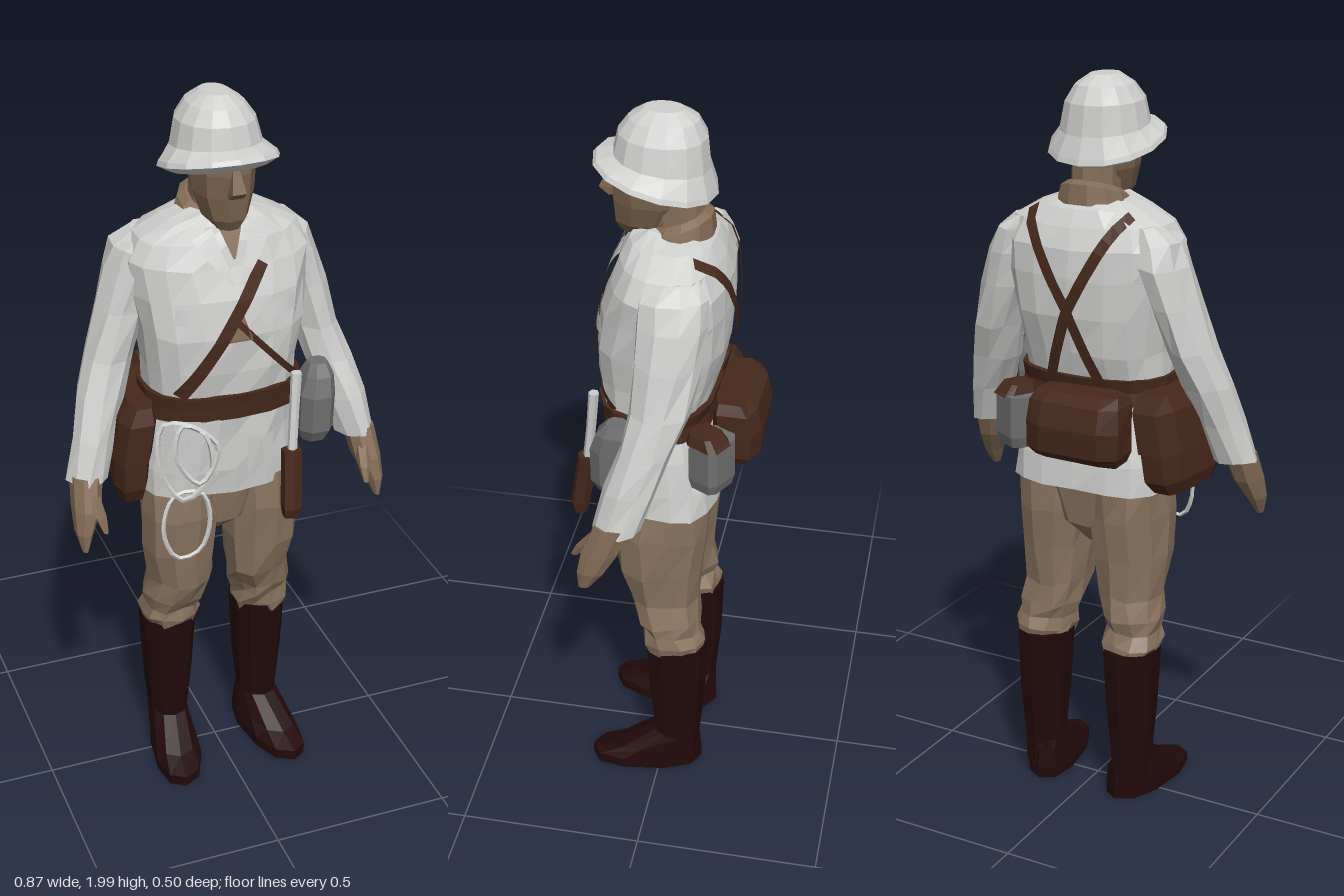
import * as THREE from 'three';

const mat = (name, color) => {
  const m = new THREE.MeshStandardMaterial({ color, flatShading: true, side: THREE.DoubleSide });
  m.name = name;
  return m;
};
const cloth = mat('white cloth', 0xcfcfce);
const trouser = mat('khaki trousers', 0x8a745f);
const skin = mat('skin', 0x846c56);
const face = mat('shaded face', 0x7a634d);
const leather = mat('brown leather', 0x46281b);
const boot = mat('dark boots', 0x22090a);
const metal = mat('grey metal', 0x6e6e6e);

// Small repeatable noise for creased fabric
let seed = 7;
const noise = () => ((seed = (seed * 16807) % 2147483647) / 2147483647) * 2 - 1;

// Stack of rings from bottom to top; ring = [y, cx, cz, rx, rz, slope, shear]
function loft(rings, n = 10, p = 1, jitter = 0) {
  const pos = [], idx = [];
  const sp = v => Math.sign(v) * Math.abs(v) ** p;
  for (const [y, cx, cz, rx, rz, slope = 0, shear = 0] of rings) {
    for (let j = 0; j < n; j++) {
      const a = ((j + 0.5) / n) * Math.PI * 2;
      const x = sp(Math.cos(a)) * rx, z = sp(Math.sin(a)) * rz;
      pos.push(cx + x + shear * z + noise() * jitter, y + slope * z + noise() * jitter, cz + z + noise() * jitter);
    }
  }
  const last = rings.length - 1;
  for (let i = 0; i < last; i++) {
    for (let j = 0; j < n; j++) {
      const a = i * n + j, b = i * n + ((j + 1) % n);
      idx.push(a, a + n, b, b, a + n, b + n);
    }
  }
  // End caps
  const c0 = pos.length / 3;
  pos.push(rings[0][1], rings[0][0], rings[0][2], rings[last][1], rings[last][0], rings[last][2]);
  for (const [k, r] of [[c0, rings[0]], [c0 + 1, rings[last]]]) [pos[k * 3], pos[k * 3 + 1], pos[k * 3 + 2]] = [r[1], r[0], r[2]];
  for (let j = 0; j < n; j++) {
    const k = (j + 1) % n;
    idx.push(c0, j, k, c0 + 1, last * n + k, last * n + j);
  }
  const g = new THREE.BufferGeometry();
  g.setAttribute('position', new THREE.Float32BufferAttribute(pos, 3));
  g.setIndex(idx);
  const flat = g.toNonIndexed();
  flat.computeVertexNormals();
  return flat;
}

// Tunic sections: [y, half width, front z, back z]
const P = 0.79;
const tunic = [
  [0.925, 0.228, 0.14, -0.15], [1.0, 0.225, 0.148, -0.145], [1.1, 0.212, 0.155, -0.128],
  [1.2, 0.2, 0.162, -0.11], [1.3, 0.205, 0.178, -0.14], [1.4, 0.218, 0.184, -0.16],
  [1.5, 0.235, 0.168, -0.166], [1.58, 0.245, 0.142, -0.158], [1.635, 0.215, 0.118, -0.14],
  [1.675, 0.14, 0.1, -0.115], [1.7, 0.075, 0.08, -0.085],
];
const section = y => {
  let i = 0;
  while (i < tunic.length - 2 && tunic[i + 1][0] < y) i++;
  const t = THREE.MathUtils.clamp((y - tunic[i][0]) / (tunic[i + 1][0] - tunic[i][0]), 0, 1);
  const [, w, f, b] = tunic[i].map((v, k) => v + (tunic[i + 1][k] - v) * t);
  return [y, 0, (f + b) / 2, w, (f - b) / 2];
};
const surfaceZ = (x, y, side) => {
  const [, , cz, w, d] = section(y);
  return cz + side * d * Math.max(0, 1 - (Math.abs(x) / w) ** (2 / P)) ** (P / 2);
};

// Ribbon that follows the front (side 1) or back (side -1) of the tunic
function ribbon(points, side, width, lift = 0.009, endWidth = width) {
  const path = new THREE.CurvePath();
  const v = points.map(q => new THREE.Vector2(...q));
  for (let i = 1; i < v.length; i++) path.add(new THREE.LineCurve(v[i - 1], v[i]));
  const N = 14, pos = [], idx = [];
  for (let i = 0; i <= N; i++) {
    const c = path.getPoint(i / N), a = path.getPoint(Math.max(0, i - 1) / N), b = path.getPoint(Math.min(N, i + 1) / N);
    const d = b.sub(a).normalize(), w = (width + (endWidth - width) * i / N) / 2;
    for (const s of [-1, 1]) {
      const x = c.x - d.y * w * s, y = c.y + d.x * w * s;
      pos.push(x, y, surfaceZ(x, y, side) + side * lift);
    }
    if (i < N) {
      const k = i * 2;
      idx.push(...(side > 0 ? [k, k + 2, k + 1, k + 1, k + 2, k + 3] : [k, k + 1, k + 2, k + 1, k + 3, k + 2]));
    }
  }
  const g = new THREE.BufferGeometry();
  g.setAttribute('position', new THREE.Float32BufferAttribute(pos, 3));
  g.setIndex(idx);
  g.computeVertexNormals();
  return g;
}

export function createModel() {
  const model = new THREE.Group();
  const add = (name, geometry, material, parent = model) => {
    const m = new THREE.Mesh(geometry, material);
    m.name = name;
    parent.add(m);
    return m;
  };
  const cord = (name, pts, r, m) => add(name, new THREE.TubeGeometry(
    new THREE.CatmullRomCurve3(pts.map(q => new THREE.Vector3(...q)), true), 20, r, 4, true), m);

  // Tunic, belt and trouser seat
  add('tunic', loft(tunic.map(t => section(t[0])), 18, P, 0.005), cloth);
  const belt = [1.165, 1.2, 1.235].map(y => { const s = section(y); s[3] += 0.014; s[4] += 0.012; return s; });
  add('belt', loft(belt, 18, P), leather);
  add('trouserSeat', loft([
    [0.745, 0.006, -0.01, 0.012, 0.03], [0.81, 0.004, -0.005, 0.09, 0.1], [0.94, 0, -0.005, 0.19, 0.125]], 12, 0.85, 0.003), trouser);

  // Legs, boots, arms and hands
  for (const s of [1, -1]) {
    const side = s > 0 ? 'left' : 'right';
    const limb = (name, rings, n, p, jit, m) =>
      add(side + name, loft(rings.map(r => r.map((v, k) => (k === 1 || k === 6 ? v * s : v))), n, p, jit), m);
    const legs = [limb('TrouserLeg', [
      [0.44, 0.136, -0.04, 0.07, 0.078], [0.475, 0.135, -0.035, 0.082, 0.084], [0.51, 0.132, -0.025, 0.074, 0.08],
      [0.545, 0.127, -0.02, 0.084, 0.09], [0.61, 0.113, -0.003, 0.084, 0.097], [0.72, 0.116, 0.005, 0.098, 0.113],
      [0.84, 0.112, 0.003, 0.106, 0.125], [0.945, 0.106, -0.003, 0.108, 0.126]], 11, 0.9, 0.008, trouser),
    limb('BootShaft', [
      [0.05, 0.138, -0.045, 0.052, 0.066], [0.13, 0.138, -0.045, 0.055, 0.066], [0.28, 0.137, -0.045, 0.069, 0.08],
      [0.46, 0.136, -0.042, 0.078, 0.088]], 10, 0.9, 0, boot),
    limb('BootFoot', [
      [0.01, 0.144, 0.042, 0.068, 0.157, 0, 0.14], [0.04, 0.144, 0.042, 0.069, 0.157, 0, 0.14],
      [0.08, 0.142, 0.01, 0.063, 0.12, -0.15, 0.14], [0.13, 0.138, -0.04, 0.052, 0.068]], 10, 0.85, 0, boot)];
    legs.forEach(m => { m.position.x = 0.007; });
    limb('Sleeve', [
      [1.01, 0.38, 0.068, 0.052, 0.06], [1.12, 0.352, 0.04, 0.056, 0.064], [1.22, 0.32, 0.005, 0.065, 0.07],
      [1.32, 0.288, -0.025, 0.062, 0.075], [1.44, 0.25, -0.038, 0.065, 0.087], [1.54, 0.222, -0.043, 0.066, 0.094],
      [1.6, 0.205, -0.042, 0.058, 0.085], [1.637, 0.175, -0.037, 0.035, 0.06]], 9, 1, 0.006, cloth);
    limb('Hand', [
      [0.84, 0.416, 0.15, 0.008, 0.014], [0.89, 0.412, 0.132, 0.024, 0.036], [0.95, 0.397, 0.108, 0.038, 0.05],
      [1.03, 0.385, 0.075, 0.042, 0.048]], 8, 0.85, 0, skin);
    limb('Thumb', [
      [0.905, 0.368, 0.183, 0.007, 0.01], [0.94, 0.373, 0.155, 0.016, 0.022], [0.99, 0.385, 0.112, 0.022, 0.028]], 6, 1, 0, skin);

    // Chest pocket flap, lapel and back strap
    add(side + 'PocketFlap', ribbon([[s * 0.06, 1.455], [s * 0.16, 1.47]], 1, 0.045, 0.006), cloth);
    add(side + 'Lapel', ribbon([[s * 0.075, 1.665], [s * 0.055, 1.62], [s * 0.01, 1.54]], 1, 0.06, 0.012, 0.01), cloth);
    add(side + 'BackStrap', ribbon([[s * 0.142, 1.665], [s * 0.1, 1.6], [0, 1.42], [-s * 0.07, 1.23]], -1, 0.03, 0.01), leather);
  }

  // Head, nose, open neck and collar
  add('neck', loft([[1.62, 0, -0.018, 0.066, 0.075], [1.8, 0, -0.008, 0.062, 0.07]], 10), skin);
  add('head', loft([
    [1.672, -0.002, 0.08, 0.034, 0.05], [1.7, -0.002, 0.065, 0.058, 0.08], [1.76, -0.002, 0.05, 0.078, 0.1],
    [1.82, -0.002, 0.045, 0.082, 0.11], [1.9, -0.002, 0.04, 0.08, 0.1]], 9, 0.92), face);
  add('nose', loft([[1.765, -0.002, 0.135, 0.026, 0.03], [1.785, -0.002, 0.15, 0.026, 0.042], [1.84, -0.002, 0.14, 0.012, 0.02]], 4), face);
  add('openNeck', ribbon([[0, 1.695], [0, 1.6]], 1, 0.075, 0.008, 0.006), skin);
  add('collar', loft([
    [1.665, 0, -0.012, 0.105, 0.102, -0.18], [1.705, 0, -0.018, 0.09, 0.09, -0.34], [1.72, 0, -0.018, 0.07, 0.07, -0.34]], 12), skin);

  // Sun helmet with sloping brim
  add('helmet', loft([
    [1.808, -0.006, 0.038, 0.122, 0.128, 0.26], [1.826, -0.006, 0.04, 0.152, 0.157, 0.27],
    [1.838, -0.006, 0.037, 0.147, 0.151, 0.27], [1.87, -0.007, 0.024, 0.115, 0.122, 0.14],
    [1.935, -0.009, 0.022, 0.1, 0.112, 0.04], [1.975, -0.009, 0.02, 0.072, 0.088], [2.0, -0.009, 0.02, 0.036, 0.05]], 14, 0.95), cloth);

  // Crossed chest straps
  add('frontStrap', ribbon([[0.072, 1.585], [-0.05, 1.4], [-0.15, 1.24]], 1, 0.034), leather);
  add('frontThinStrap', ribbon([[-0.01, 1.45], [0.18, 1.24]], 1, 0.017, 0.008), leather);
  add('strapKnot', ribbon([[0.0, 1.47], [0.0, 1.395]], 1, 0.015, 0.008, 0.065), skin);

  // Ragged cloth strips over the front hem
  [[-0.18, 0.98], [-0.145, 0.94], [-0.105, 0.95], [-0.07, 1.0], [0.05, 0.97], [0.085, 0.94]].forEach(([x, y], i) =>
    add('clothStrip', ribbon([[x, 1.17 - (i > 3 ? 0.07 : 0)], [x + 0.015 * (i % 2 ? 1 : -1), y]], 1, 0.04, 0.016, 0.006), cloth));

  // Hanging lanyards
  cord('lanyard', [[-0.19, 1.16, 0.13], [-0.2, 1.02, 0.15], [-0.15, 0.95, 0.175], [-0.08, 1.02, 0.185], [-0.1, 1.15, 0.18]], 0.007, cloth);
  cord('shortLanyard', [[-0.15, 1.17, 0.17], [-0.17, 1.08, 0.175], [-0.11, 1.0, 0.19], [-0.06, 1.1, 0.185]], 0.007, cloth);
  cord('lowerLoop', [[-0.17, 0.96, 0.16], [-0.205, 0.86, 0.165], [-0.17, 0.775, 0.175], [-0.11, 0.79, 0.18], [-0.08, 0.88, 0.18], [-0.1, 0.96, 0.17]], 0.006, cloth);

  // Satchel on the right hip and pack on the back
  add('satchel', loft([
    [0.94, -0.255, 0.01, 0.038, 0.11, 0, -0.12], [0.98, -0.255, 0, 0.048, 0.14, 0, -0.12], [1.1, -0.246, -0.005, 0.052, 0.148, 0, -0.12],
    [1.17, -0.232, -0.005, 0.05, 0.15, 0, -0.12], [1.205, -0.222, -0.005, 0.034, 0.13, 0, -0.12]], 8, 0.55), leather);
  add('satchelFlap', loft([
    [1.06, -0.25, -0.005, 0.056, 0.152, 0, -0.12], [1.17, -0.232, -0.005, 0.055, 0.153, 0, -0.12],
    [1.212, -0.222, -0.005, 0.034, 0.135, 0, -0.12]], 8, 0.55), leather);
  add('backPack', loft([
    [1.035, -0.045, -0.175, 0.125, 0.05], [1.06, -0.045, -0.183, 0.138, 0.066], [1.13, -0.045, -0.185, 0.138, 0.068],
    [1.19, -0.045, -0.175, 0.134, 0.064], [1.215, -0.045, -0.165, 0.12, 0.045]], 8, 0.5, 0.003), leather);

  // Angled grey pouch with leather lid strip, and canteen
  const pouch = new THREE.Group();
  pouch.name = 'rearPouch';
  pouch.position.set(0.165, 0, -0.138);
  pouch.rotation.y = -0.5;
  model.add(pouch);
  add('pouchBody', loft([
    [1.03, 0, 0, 0.05, 0.042], [1.06, 0, 0, 0.057, 0.05], [1.17, 0, 0, 0.057, 0.048]], 8, 0.45), metal, pouch);
  add('pouchLid', loft([[1.165, 0.015, 0, 0.045, 0.052], [1.195, 0.015, 0.01, 0.036, 0.036]], 8, 0.45), leather, pouch);
  add('canteen', loft([
    [1.035, 0.238, 0.1, 0.035, 0.045], [1.07, 0.24, 0.1, 0.05, 0.064], [1.17, 0.243, 0.098, 0.051, 0.066],
    [1.22, 0.252, 0.095, 0.04, 0.05], [1.25, 0.254, 0.092, 0.026, 0.026]], 8, 0.75), metal);

  // Sheathed knife at the left front
  add('sheath', loft([
    [0.87, 0.133, 0.222, 0.022, 0.018], [0.9, 0.133, 0.223, 0.027, 0.026], [1.06, 0.14, 0.2, 0.027, 0.024]], 6, 0.8), leather);
  add('knifeHandle', loft([
    [1.05, 0.143, 0.197, 0.013, 0.013], [1.16, 0.152, 0.183, 0.013, 0.013], [1.27, 0.16, 0.172, 0.015, 0.014]], 6), cloth);

  return model;
}
